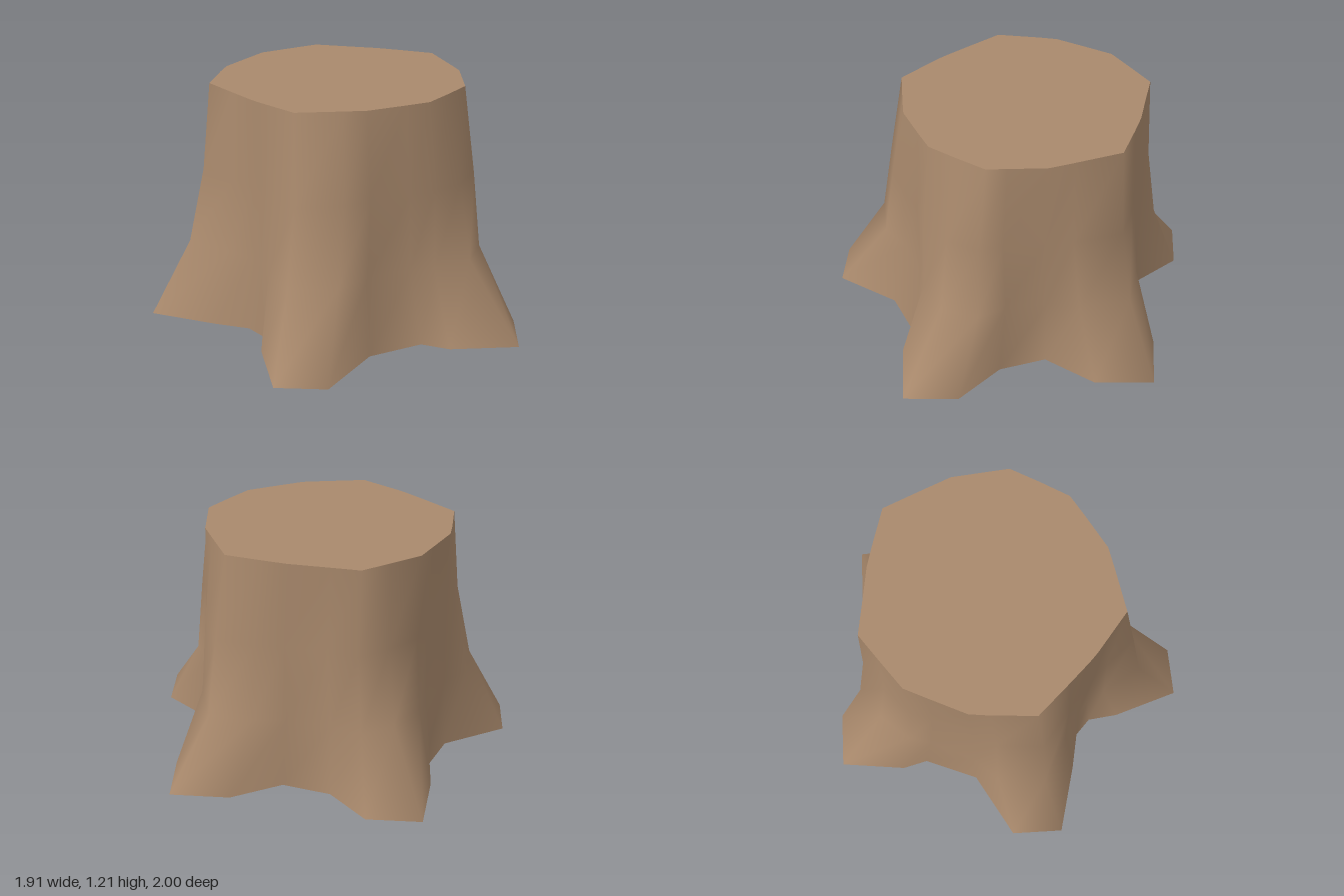
import * as THREE from 'three';

// One row per column of bark: foot x, foot z, rim x, rim z, strength of the flare halfway
const columns = [
  [0.955, 0, 0.605, -0.06, 1], [0.75, 0.22, 0.51, 0.165, 1], [0.46, 0.29, 0.46, 0.28, 1],
  [0.355, 0.51, 0.335, 0.425, 1], [0.37, 0.8, 0.27, 0.5, 1], [0.18, 1, 0.11, 0.54, 1],
  [-0.09, 0.79, -0.05, 0.575, 1], [-0.16, 0.66, -0.17, 0.54, 1], [-0.43, 0.58, -0.36, 0.48, 1],
  [-0.78, 0.68, -0.45, 0.415, 1], [-0.96, 0.5, -0.63, 0.28, 1.15], [-0.79, 0.19, -0.643, 0.12, 1],
  [-0.69, 0.07, -0.65, 0.03, 1], [-0.69, -0.04, -0.65, -0.03, 1], [-0.79, -0.2, -0.643, -0.17, 1],
  [-0.96, -0.51, -0.63, -0.38, 1.15], [-0.77, -0.69, -0.46, -0.52, 1], [-0.42, -0.585, -0.38, -0.58, 1],
  [-0.15, -0.69, -0.19, -0.642, 1], [-0.08, -0.8, -0.07, -0.68, 0.75], [0.19, -1, 0.1, -0.65, 0.6],
  [0.38, -0.8, 0.26, -0.62, 1], [0.36, -0.53, 0.34, -0.505, 1], [0.48, -0.31, 0.46, -0.335, 1],
  [0.75, -0.22, 0.52, -0.225, 1],
];
// Height of each ring, how far it flares from the rim towards the foot, and its lean in z
const rings = [[0, 1, 0], [0.38, 0.34, 0], [0.77, 0.15, 0.02], [1.205, 0, 0]];

function makeGeometry(positions, index) {
  const g = new THREE.BufferGeometry();
  g.setAttribute('position', new THREE.Float32BufferAttribute(positions, 3));
  g.setIndex(index);
  g.computeVertexNormals();
  return g;
}

export function createModel() {
  const group = new THREE.Group();
  group.name = 'treeStump';
  const wood = new THREE.MeshStandardMaterial({ color: 0xa9896c, side: THREE.DoubleSide });
  wood.name = 'wood';
  const n = columns.length;

  // Trunk flaring into five roots, open underneath
  const positions = [], index = [];
  rings.forEach(([y, flare, lean], r) => {
    columns.forEach(([fx, fz, tx, tz, strength], i) => {
      const f = r === 0 ? 1 : flare * strength;
      positions.push(tx + (fx - tx) * f, y, tz + (fz - tz) * f + lean);
      if (r === rings.length - 1) return;
      const a = r * n + i, b = r * n + (i + 1) % n;
      index.push(a, a + n, b, b, a + n, b + n);
    });
  });
  const trunk = new THREE.Mesh(makeGeometry(positions, index), wood);
  trunk.name = 'trunkAndRoots';

  // Flat cut face
  const capPositions = [0, 1.205, 0], capIndex = [];
  columns.forEach(([, , x, z], i) => {
    capPositions.push(x, 1.205, z);
    capIndex.push(0, 1 + (i + 1) % n, 1 + i);
  });
  const cap = new THREE.Mesh(makeGeometry(capPositions, capIndex), wood);
  cap.name = 'cutTop';

  group.add(trunk, cap);
  return group;
}
